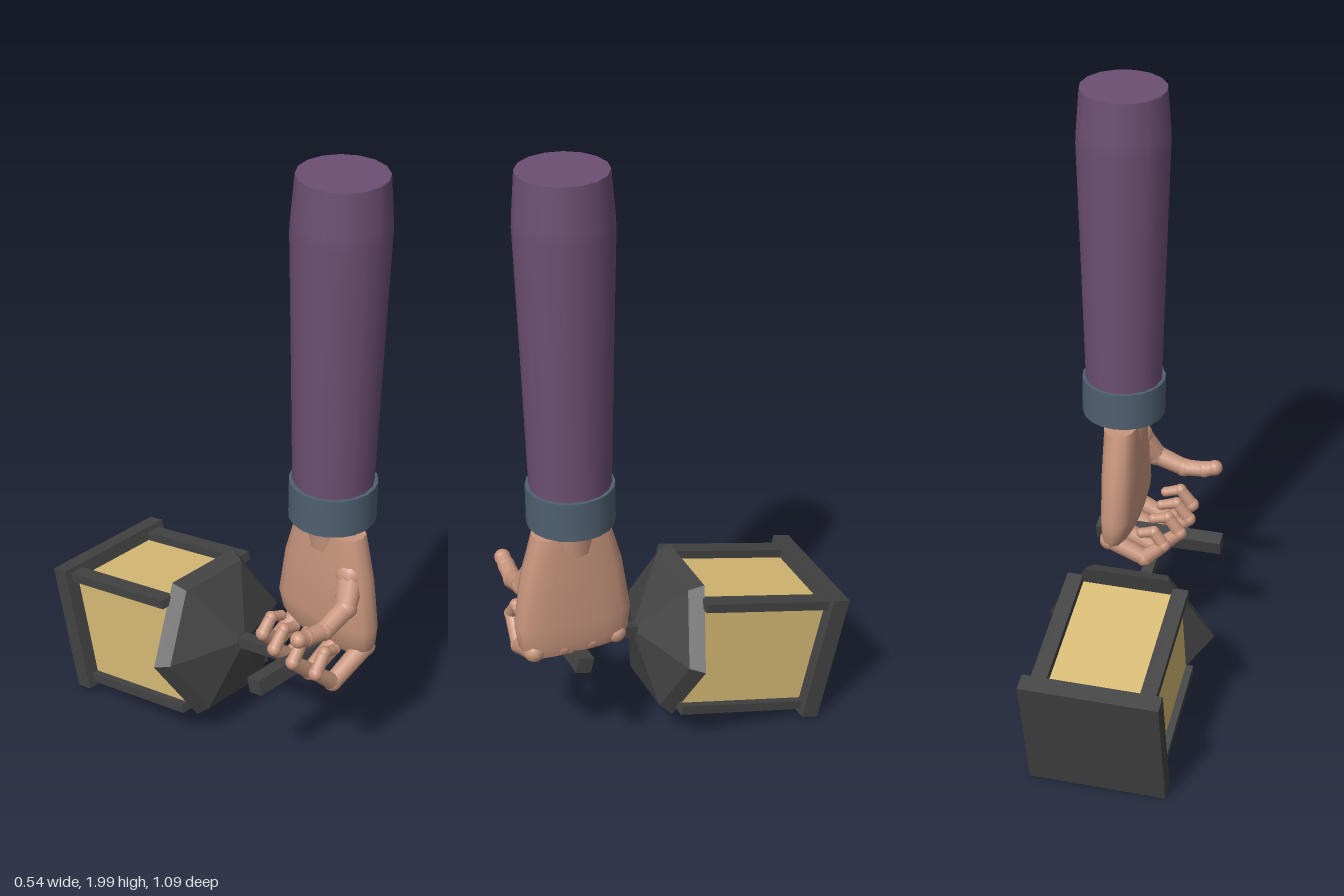
import * as THREE from 'three';

const mat = (name, color) => {
  const m = new THREE.MeshStandardMaterial({ color });
  m.name = name;
  return m;
};
const V = (x, y, z) => new THREE.Vector3(x, y, z);

export function createModel() {
  const skin = mat('skin', 0xc8967e);
  const sleeveCloth = mat('sleeve cloth', 0x6d4f73);
  const cuffCloth = mat('cuff cloth', 0x4f6070);
  const iron = mat('dark iron', 0x434343);
  const glass = mat('amber glass', 0xd8bb75);

  const model = new THREE.Group();
  model.name = 'handWithLantern';

  const add = (parent, name, geo, material, x = 0, y = 0, z = 0) => {
    const mesh = new THREE.Mesh(geo, material);
    mesh.name = name;
    mesh.position.set(x, y, z);
    parent.add(mesh);
    return mesh;
  };
  const lathe = (pts, sides, start = 0) =>
    new THREE.LatheGeometry(pts.map(([r, y]) => new THREE.Vector2(r, y)), sides, start);

  // Sleeve and cuff
  const AX = 0.12, AZ = 0.36;
  add(model, 'sleeve', lathe([[0.122, 1.0], [0.134, 1.45], [0.145, 1.83], [0.143, 1.87], [0.133, 2.0]], 16), sleeveCloth, AX, 0, AZ);
  const cap = new THREE.CircleGeometry(0.133, 16).rotateX(-Math.PI / 2);
  add(model, 'sleeveEnd', cap, sleeveCloth, AX, 2, AZ);
  add(model, 'cuff', new THREE.CylinderGeometry(0.133, 0.133, 0.125, 20), cuffCloth, AX, 0.96, AZ);

  // Wrist
  add(model, 'wrist', new THREE.CylinderGeometry(0.08, 0.066, 0.13, 14), skin, 0.117, 0.865, AZ);

  // Palm: rounded sections [y, centre x, half thickness, half width] from bottom to top
  const sections = [
    [0.45, 0.125, 0.035, 0.15], [0.49, 0.12, 0.052, 0.178], [0.56, 0.113, 0.062, 0.187],
    [0.72, 0.114, 0.062, 0.163], [0.865, 0.117, 0.057, 0.123],
  ];
  const N = 16, pos = [], idx = [];
  const ring = ([y, cx, hx, hz]) => {
    for (let i = 0; i < N; i++) {
      const a = (i / N) * Math.PI * 2, c = Math.cos(a), s = Math.sin(a);
      pos.push(cx + hx * Math.sign(c) * Math.abs(c) ** 0.7, y, AZ + hz * Math.sign(s) * Math.abs(s) ** 0.8);
    }
  };
  sections.forEach(ring);
  for (let r = 0; r < sections.length - 1; r++) {
    for (let i = 0; i < N; i++) {
      const a = r * N + i, b = r * N + (i + 1) % N;
      idx.push(a, a + N, b, b, a + N, b + N);
    }
  }
  // Separate end rings keep the palm's ends crisp
  const low = pos.length / 3;
  ring(sections[0]);
  ring(sections[sections.length - 1]);
  for (let i = 1; i < N - 1; i++) {
    idx.push(low, low + i, low + i + 1, low + N, low + N + i + 1, low + N + i);
  }
  const palm = new THREE.BufferGeometry();
  palm.setAttribute('position', new THREE.Float32BufferAttribute(pos, 3));
  palm.setIndex(idx);
  palm.computeVertexNormals();
  add(model, 'palm', palm, skin);

  // Digit: tapered segments with a ball at every joint
  const digit = (name, pts, radii) => {
    const g = new THREE.Group();
    g.name = name;
    model.add(g);
    pts.forEach((p, i) => {
      add(g, 'joint', new THREE.SphereGeometry(radii[i], 12, 8), skin, p.x, p.y, p.z);
      if (i === 0) return;
      const q = pts[i - 1], d = p.clone().sub(q), mid = p.clone().add(q).multiplyScalar(0.5);
      const seg = add(g, 'segment', new THREE.CylinderGeometry(radii[i] * 0.95, radii[i - 1] * 0.92, d.length(), 10), skin, mid.x, mid.y, mid.z);
      seg.quaternion.setFromUnitVectors(V(0, 1, 0), d.normalize());
    });
  };

  // Curled fingers, scaled in length about their knuckles
  const curl = [[0, 0], [-0.14, -0.065], [-0.215, 0.005], [-0.175, 0.06], [-0.125, 0.045]];
  [['indexFinger', 0.495, 1], ['middleFinger', 0.405, 1.04], ['ringFinger', 0.315, 0.99], ['littleFinger', 0.23, 0.83]]
    .forEach(([name, z, k]) => digit(name,
      curl.map(([x, y], i) => V(0.135 + x * k, 0.472 + y * k, z - (z - AZ) * 0.02 * i)),
      [0.034, 0.029, 0.023, 0.02, 0.017]));

  // Thumb
  digit('thumb', [V(0.1, 0.74, 0.46), V(0.045, 0.655, 0.49), V(-0.05, 0.62, 0.49), V(-0.12, 0.627, 0.485), V(-0.155, 0.638, 0.485)],
    [0.05, 0.036, 0.031, 0.028, 0.026]);

  // Lantern, built upright and then tipped forward
  const lantern = new THREE.Group();
  lantern.name = 'lantern';
  lantern.position.set(0, 0.22, -0.49);
  lantern.rotation.x = 1.337;
  model.add(lantern);
  const box = (name, w, h, d, m, x, y, z) => add(lantern, name, new THREE.BoxGeometry(w, h, d), m, x, y, z);

  box('basePlate', 0.436, 0.057, 0.432, iron, 0, 0.0285, 0);
  box('glassBody', 0.344, 0.44, 0.344, glass, 0, 0.272, 0);
  for (const sx of [-1, 1]) {
    for (const sz of [-1, 1]) box('cornerPost', 0.05, 0.44, 0.03, iron, sx * 0.17, 0.272, sz * 0.185);
  }

  // Six-sided roof with flat faces
  const roof = lathe([[0, 0.488], [0.271, 0.488], [0.242, 0.532], [0.025, 0.615], [0, 0.615]], 6, Math.PI / 2).toNonIndexed();
  roof.computeVertexNormals();
  add(lantern, 'roof', roof, iron);

  // Handle stem and crossbar
  box('handleStem', 0.038, 0.27, 0.038, iron, 0, 0.735, 0);
  box('handleCrossbar', 0.42, 0.05, 0.05, iron, 0, 0.875, -0.005);

  return model;
}
